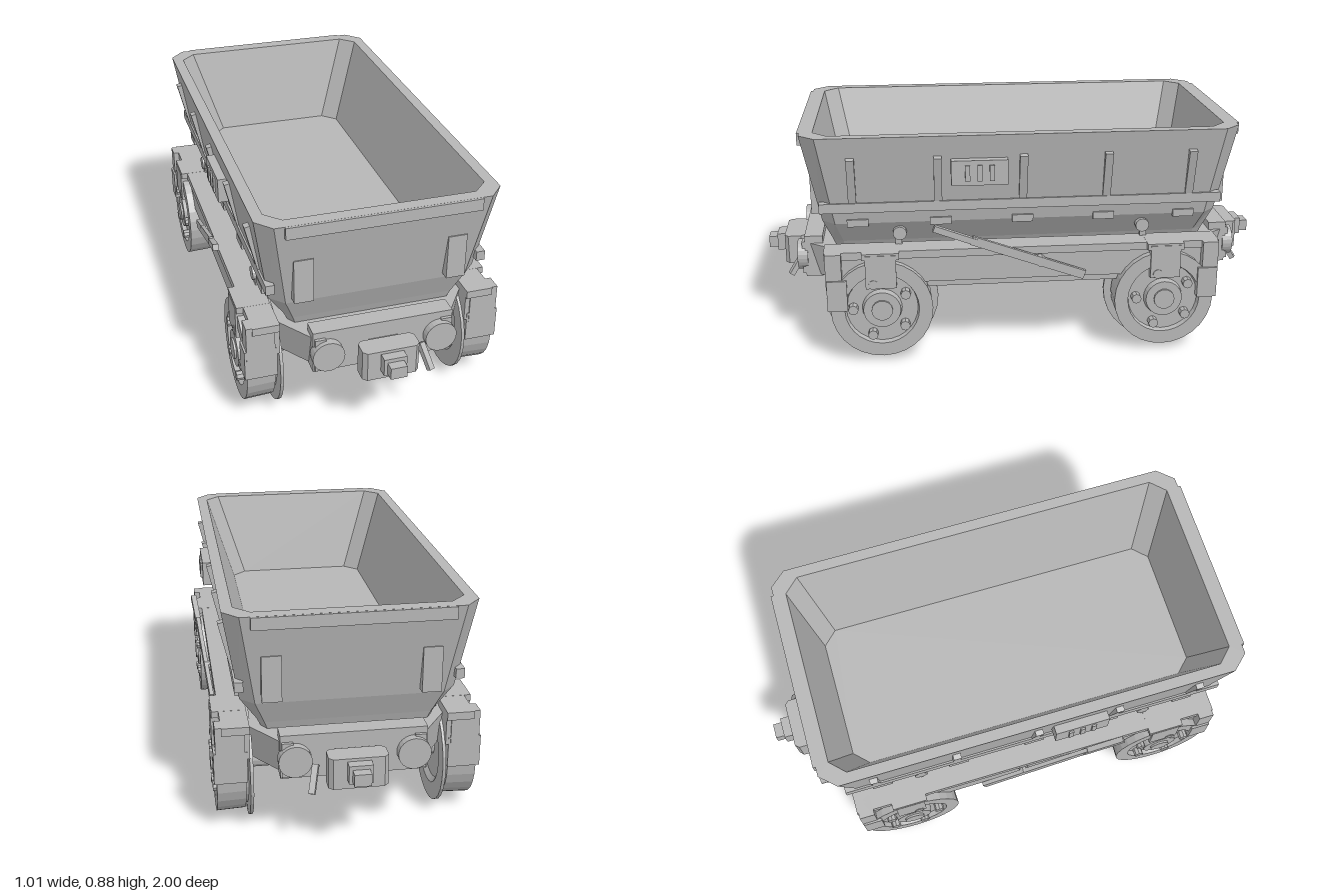
import * as THREE from 'three';

export function createModel() {
  const model = new THREE.Group();
  model.name = 'mineCart';
  const steel = new THREE.MeshStandardMaterial({ color: 0xb6b6b6 });
  steel.name = 'grey steel';

  // Adds a mesh with hard facets
  const add = (name, geo, x = 0, y = 0, z = 0) => {
    const flat = geo.index ? geo.toNonIndexed() : geo;
    flat.computeVertexNormals();
    const mesh = new THREE.Mesh(flat, steel);
    mesh.name = name;
    mesh.position.set(x, y, z);
    model.add(mesh);
    return mesh;
  };
  const box = (name, w, h, d, x, y, z) => add(name, new THREE.BoxGeometry(w, h, d), x, y, z);

  // Slanted bar running between two points
  const bar = (name, a, b, w, h) => {
    const p = new THREE.Vector3(...a), q = new THREE.Vector3(...b);
    const mesh = add(name, new THREE.BoxGeometry(w, h, p.distanceTo(q)));
    mesh.position.copy(p).add(q).multiplyScalar(0.5);
    mesh.lookAt(q);
    return mesh;
  };

  // Disc or rod lying along x or z
  const rod = (name, r, len, sides, axis, x, y, z) => {
    const geo = new THREE.CylinderGeometry(r, r, len, sides);
    if (axis === 'x') geo.rotateZ(Math.PI / 2);
    else geo.rotateX(Math.PI / 2);
    return add(name, geo, x, y, z);
  };

  // Closed loft through chamfered rectangles: [y, halfX, halfZ, chamferX, chamferZ]
  const loft = (rings) => {
    const loops = rings.map(([y, hx, hz, cx, cz]) => [
      [hx, -hz + cz], [hx, hz - cz], [hx - cx, hz], [-hx + cx, hz],
      [-hx, hz - cz], [-hx, -hz + cz], [-hx + cx, -hz], [hx - cx, -hz],
    ].map(([x, z]) => [x, y, z]));
    const pos = [];
    const tri = (a, b, c) => pos.push(...a, ...b, ...c);
    for (let i = 0; i + 1 < loops.length; i++) {
      for (let j = 0; j < 8; j++) {
        const k = (j + 1) % 8, lo = loops[i], hi = loops[i + 1];
        tri(lo[j], hi[j], lo[k]);
        tri(lo[k], hi[j], hi[k]);
      }
    }
    const first = loops[0], last = loops[loops.length - 1];
    for (let j = 1; j < 7; j++) {
      tri(first[0], first[j], first[j + 1]);
      tri(last[0], last[j + 1], last[j]);
    }
    const geo = new THREE.BufferGeometry();
    geo.setAttribute('position', new THREE.Float32BufferAttribute(pos, 3));
    return geo;
  };

  // Tub: outside wall, rim, inside wall and floor
  add('tub', loft([
    [0.41, 0.31, 0.71, 0.02, 0.03],
    [0.44, 0.325, 0.72, 0.025, 0.04],
    [0.53, 0.385, 0.755, 0.05, 0.05],
    [0.875, 0.442, 0.82, 0.055, 0.06],
    [0.875, 0.4, 0.772, 0.055, 0.055],
    [0.53, 0.292, 0.7, 0.055, 0.055],
  ]));

  // Chassis body
  add('chassis', loft([
    [0.28, 0.345, 0.8, 0.1, 0.14],
    [0.41, 0.355, 0.82, 0.1, 0.14],
  ]));

  const wheelY = 0.215, wheelZ = 0.54;
  const wheelProfile = [
    [0, 0.36], [0.13, 0.36], [0.15, 0.345], [0.215, 0.345], [0.215, 0.357],
    [0.17, 0.36], [0.17, 0.37], [0.188, 0.37], [0.192, 0.475], [0.14, 0.475],
    [0.135, 0.455], [0.075, 0.455], [0.07, 0.48], [0, 0.48],
  ].map(([r, a]) => new THREE.Vector2(r, a));

  // Both ends
  for (const e of [1, -1]) {
    box('rimBar', 0.7, 0.045, 0.04, 0, 0.852, e * 0.81);
    box('bufferBeam', 0.52, 0.165, 0.07, 0, 0.357, e * 0.8);
    for (const s of [1, -1]) {
      box('endBracket', 0.07, 0.17, 0.05, s * 0.28, 0.635, e * 0.77);
      box('bufferPad', 0.04, 0.13, 0.02, s * 0.235, 0.35, e * 0.837);
      rod('buffer', 0.059, 0.04, 24, 'z', s * 0.21, 0.35, e * 0.845);
    }
    add('couplerBlock', loft([
      [0.27, 0.105, 0.04, 0.015, 0.015],
      [0.385, 0.105, 0.04, 0.015, 0.015],
    ]), 0, 0, e * 0.89);
    box('couplerNeck', 0.11, 0.09, 0.04, 0, 0.33, e * 0.835);
    box('couplerSocket', 0.084, 0.068, 0.04, 0, 0.34, e * 0.945);
    box('couplerTip', 0.06, 0.045, 0.04, 0, 0.337, e * 0.98);
    bar('couplingPin', [0.138, 0.33, e * 0.85], [0.16, 0.245, e * 0.905], 0.022, 0.02);
    rod('axle', 0.041, 0.72, 14, 'x', 0, wheelY, e * wheelZ);
  }

  // Both sides
  for (const s of [1, -1]) {
    box('tubBelt', 0.032, 0.037, 1.52, s * 0.39, 0.597, 0);
    box('sideBeam', 0.09, 0.1, 1.48, s * 0.4, 0.36, 0);
    box('beamTopFlange', 0.1, 0.03, 1.5, s * 0.405, 0.425, 0);
    box('beamLowerFlange', 0.07, 0.03, 0.9, s * 0.385, 0.295, 0);

    for (let i = -2; i <= 2; i++) {
      // Ribs leaning out of the upper wall, and clamps under the belt
      bar('wallRib', [s * 0.394, 0.62, i * 0.318], [s * 0.436, 0.795, i * 0.318], 0.03, 0.026);
      box('tubClamp', 0.03, 0.028, 0.08, s * 0.382, 0.534, i * 0.31);
    }

    // Vented side plate
    box('sidePlate', 0.06, 0.095, 0.21, s * 0.43, 0.737, 0.165);
    for (const z of [0.12, 0.165, 0.21]) {
      box('plateSlat', 0.008, 0.06, 0.018, s * 0.463, 0.737, z);
    }

    // Brake lever and its handle
    bar('brakeLever', [s * 0.458, 0.32, -0.23], [s * 0.483, 0.485, 0.2], 0.016, 0.034);
    bar('brakeHandle', [s * 0.481, 0.475, 0.18], [s * 0.493, 0.54, 0.34], 0.022, 0.024);
    rod('brakePivot', 0.02, 0.04, 10, 'x', s * 0.455, 0.385, -0.06);

    for (const e of [1, -1]) {
      // Locking pin
      box('lockStem', 0.016, 0.06, 0.025, s * 0.37, 0.455, e * 0.47);
      rod('lockKnob', 0.026, 0.03, 12, 'x', s * 0.373, 0.485, e * 0.465);

      // Flanged wheel with hub and bolts
      const wheel = new THREE.LatheGeometry(wheelProfile, 28);
      wheel.rotateZ(-s * Math.PI / 2);
      add('wheel', wheel, 0, wheelY, e * wheelZ);
      rod('hubCap', 0.04, 0.012, 14, 'x', s * 0.482, wheelY, e * wheelZ);
      for (let i = 0; i < 5; i++) {
        const a = 1.3 + i * Math.PI * 0.4;
        rod('wheelBolt', 0.019, 0.035, 8, 'x', s * 0.468,
          wheelY + Math.sin(a) * 0.108, e * wheelZ + Math.cos(a) * 0.108);
      }

      // Axle guard and end block
      box('axleGuard', 0.035, 0.13, 0.115, s * 0.465, 0.368, e * wheelZ);
      box('guardTop', 0.12, 0.025, 0.14, s * 0.42, 0.428, e * wheelZ);
      box('endBlock', 0.12, 0.12, 0.075, s * 0.425, 0.278, e * 0.705);
      box('endBlockMount', 0.105, 0.14, 0.06, s * 0.425, 0.37, e * 0.715);
    }
  }
  return model;
}
